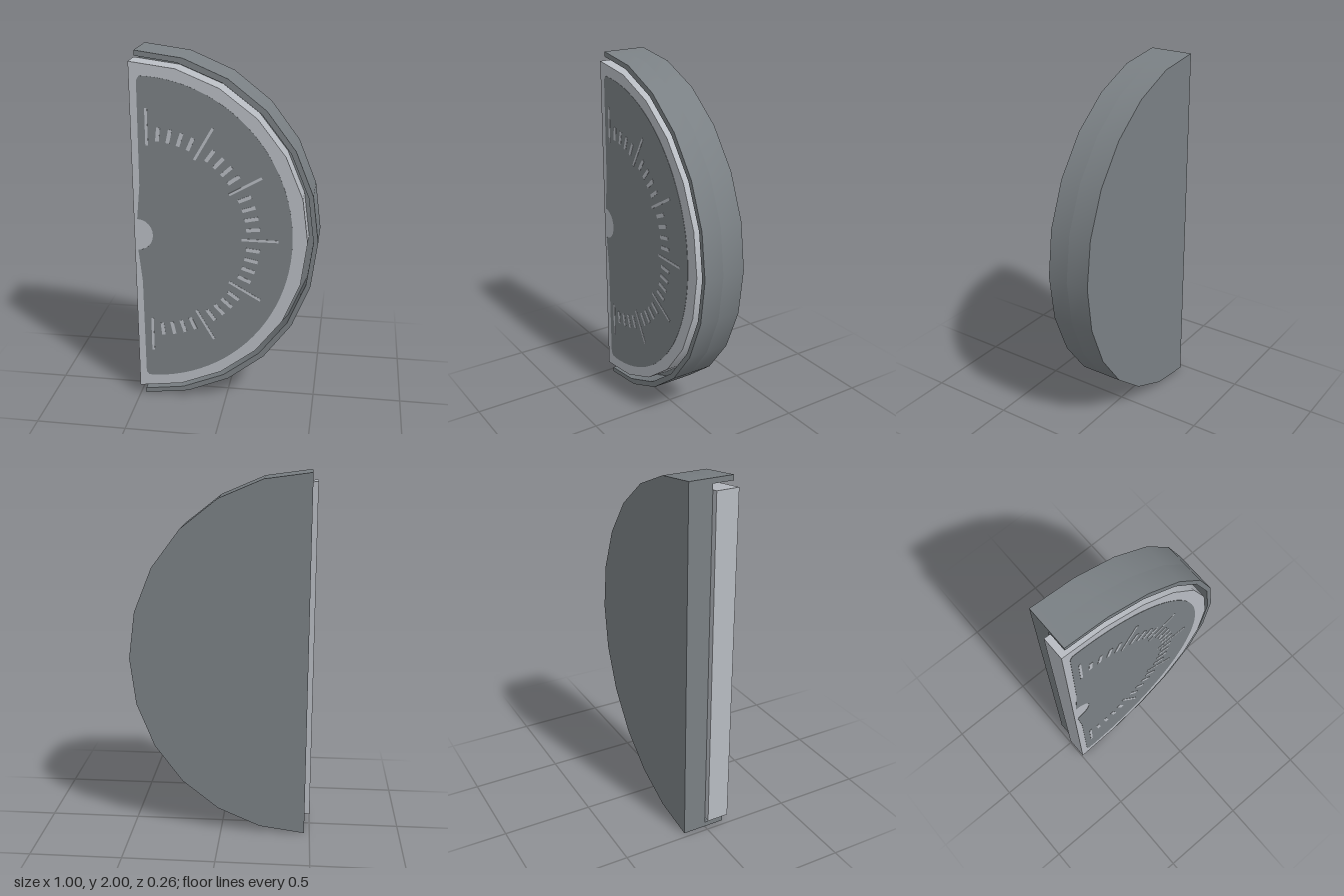
import * as THREE from 'three';
import { toCreasedNormals } from 'three/addons/utils/BufferGeometryUtils.js';

// Points of a half ellipse, from bottom to top, bulging towards +x
function arc(cx, rx, ry, n) {
  const pts = [];
  for (let i = 0; i <= n; i++) {
    const a = -Math.PI / 2 + (Math.PI * i) / n;
    pts.push(new THREE.Vector2(cx + rx * Math.cos(a), 1 + ry * Math.sin(a)));
  }
  return pts;
}

// Extrudes an outline between two depths, smooth along the arc
function slab(name, pts, z0, z1, material) {
  const geo = new THREE.ExtrudeGeometry(new THREE.Shape(pts), {
    depth: z1 - z0, bevelEnabled: false,
  });
  geo.translate(0, 0, z0);
  const mesh = new THREE.Mesh(toCreasedNormals(geo, 0.5), material);
  mesh.name = name;
  return mesh;
}

export function createModel() {
  const group = new THREE.Group();
  group.name = 'halfDial';
  const dark = new THREE.MeshStandardMaterial({ color: 0x7a8084 });
  dark.name = 'dark grey';
  const light = new THREE.MeshStandardMaterial({ color: 0xb8bcc2 });
  light.name = 'light grey';

  // Housing: solid back and a thin raised lip round the curve
  const outer = arc(-0.47, 0.97, 1, 12);
  const inner = arc(-0.5, 0.975, 0.975, 12);
  inner[0].set(-0.47, 0.028);
  inner[12].set(-0.47, 1.972);
  group.add(slab('housingBack', outer, -0.13, 0, dark));
  group.add(slab('housingLip', [...outer, ...inner.reverse()], 0, 0.115, dark));

  // Dial plate sitting in the recess and overhanging the cut side
  group.add(slab('dialPlate', arc(-0.5, 0.945, 0.945, 12), 0.003, 0.127, light));

  // Dial face with a notch round the hub
  const face = arc(-0.46, 0.825, 0.873, 48);
  face[0].set(-0.445, 0.13);
  face[48].set(-0.445, 1.873);
  face.push(new THREE.Vector2(-0.46, 1.85), new THREE.Vector2(-0.463, 1.28));
  for (let i = 0; i <= 12; i++) {
    const a = Math.PI / 2 - (Math.PI * i) / 12;
    face.push(new THREE.Vector2(-0.482 + 0.085 * Math.cos(a), 1 + 0.09 * Math.sin(a)));
  }
  face.push(new THREE.Vector2(-0.463, 0.72), new THREE.Vector2(-0.46, 0.15));
  group.add(slab('dialFace', face, 0.126, 0.1285, dark));

  // Tick marks every 6 degrees, a long one every 30
  const ticks = new THREE.Group();
  ticks.name = 'tickMarks';
  for (let i = -15; i <= 15; i++) {
    const major = i % 5 === 0;
    const a = (i * Math.PI) / 30;
    const r = major ? 0.605 : 0.57;
    const geo = new THREE.BoxGeometry(major ? 0.2 : 0.075, major ? 0.014 : 0.02, 0.002);
    const tick = new THREE.Mesh(geo, light);
    tick.name = major ? 'longTick' : 'shortTick';
    tick.position.set(-0.415 + r * Math.cos(a), 1 + r * Math.sin(a), 0.129);
    tick.rotation.z = a;
    ticks.add(tick);
  }
  group.add(ticks);
  return group;
}
